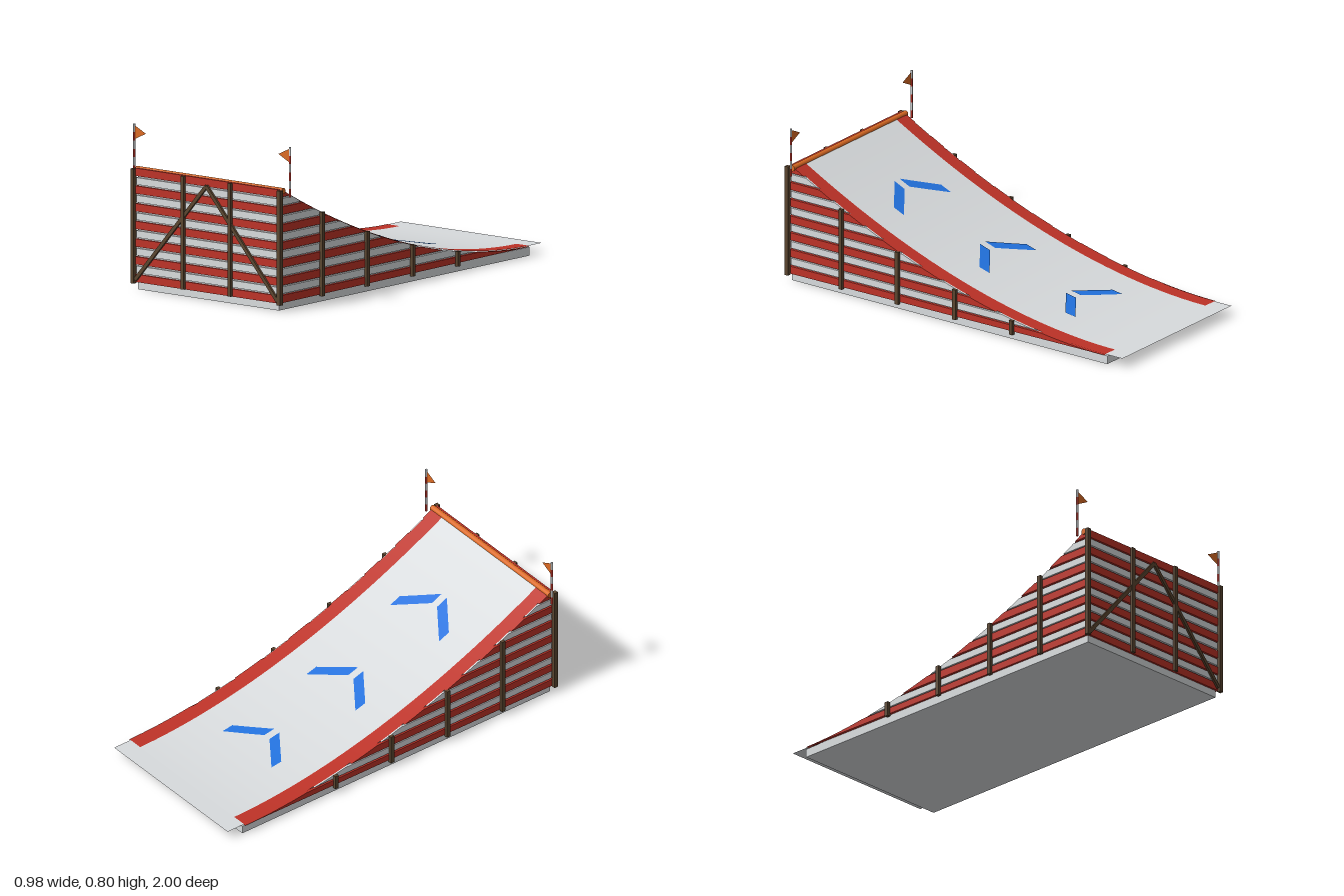
import * as THREE from 'three';

const mat = (name, color, side = THREE.FrontSide) => {
  const m = new THREE.MeshStandardMaterial({ color, side });
  m.name = name;
  return m;
};

// Ramp profile: height of the deck at z, and its inverse
const Z0 = -0.9, Z1 = 0.95, LOW = 0.05, RISE = 0.535, POWER = 1.87;
const height = (z) => LOW + RISE * Math.pow(Math.max(0, (z - Z0) / (Z1 - Z0)), POWER);
const zAt = (y) => Z0 + (Z1 - Z0) * Math.pow(Math.max(0, (y - LOW) / RISE), 1 / POWER);

// Sheet following the deck between two x edges; skew slides the x1 edge along z
function deckStrip(x0, x1, z0, z1, lift, skew = 0, rows = 40) {
  const cols = skew ? 6 : 1;
  const g = new THREE.PlaneGeometry(1, 1, cols, rows);
  const p = g.attributes.position;
  for (let i = 0; i < p.count; i++) {
    const u = p.getX(i) + 0.5, v = 0.5 - p.getY(i);
    const z = z0 + (z1 - z0) * v + skew * u;
    p.setXYZ(i, x0 + (x1 - x0) * u, height(z) + lift, z);
  }
  g.computeVertexNormals();
  return g;
}

// Slice of the side profile from y0 up to y1, cut by the curve, extruded from xMin to xMax
function profileSlab(y0, y1, xMin, xMax, front, drop) {
  const s = new THREE.Shape();
  s.moveTo(front, y0);
  const a = zAt(y0 + drop), b = Math.min(front, zAt(y1 + drop)), n = 24;
  s.lineTo(front, y1);
  for (let i = n; i >= 0; i--) {
    const z = a + (b - a) * i / n;
    s.lineTo(z, Math.min(y1, Math.max(y0, height(z) - drop)));
  }
  const g = new THREE.ExtrudeGeometry(s, { depth: xMax - xMin, bevelEnabled: false });
  return g.rotateY(-Math.PI / 2).translate(xMax, 0, 0);
}

export function createModel() {
  const root = new THREE.Group();
  root.name = 'jumpRamp';
  const white = mat('paleGrey', 0xd8dbdd, THREE.DoubleSide);
  const red = mat('red', 0xbd3227, THREE.DoubleSide);
  const brown = mat('darkWood', 0x5a452f);
  const orange = mat('orange', 0xdb6a24, THREE.DoubleSide);
  const blue = mat('blue', 0x2272de, THREE.DoubleSide);

  const add = (name, geo, material, x = 0, y = 0, z = 0, parent = root) => {
    const m = new THREE.Mesh(geo, material);
    m.name = name;
    m.position.set(x, y, z);
    parent.add(m);
    return m;
  };
  const box = (name, w, h, d, material, x, y, z) =>
    add(name, new THREE.BoxGeometry(w, h, d), material, x, y, z);

  // Base, core and entry lip
  box('base', 0.88, 0.042, 1.885, white, 0, 0.021, 0.0325);
  add('core', profileSlab(0.035, 0.584, -0.437, 0.437, 0.974, 0.006), white);
  add('entryLip', new THREE.PlaneGeometry(0.88, 0.13).rotateX(-Math.PI / 2), white, 0, 0.049, -0.935);

  // Riding surface with red borders
  add('deck', deckStrip(-0.365, 0.365, Z0, Z1, 0), white);
  for (const s of [-1, 1]) {
    add('deckBorder', deckStrip(s < 0 ? -0.443 : 0.365, s < 0 ? -0.365 : 0.443, Z0, Z1, 0), red);
  }

  // Blue chevrons pointing up the ramp
  for (const z of [-0.534, -0.02, 0.492]) {
    add('chevronLeft', deckStrip(0.19, 0.02, z, z + 0.06, 0.004, 0.122, 4), blue);
    add('chevronRight', deckStrip(-0.19, -0.02, z, z + 0.06, 0.004, 0.122, 4), blue);
  }

  // Alternating slats on the front and both sides
  for (let i = 0; i < 13; i++) {
    const isRed = i % 2 === 0;
    const m = isRed ? red : white;
    const h = isRed ? 0.038 : 0.034;
    const y = 0.055 + 0.0432 * i;
    box('frontSlat', isRed ? 0.894 : 0.886, h, 0.011, m, 0, y, 0.9795);
    const out = isRed ? 0.451 : 0.449;
    const top = Math.min(y + h / 2, 0.585);
    add('sideSlatLeft', profileSlab(y - h / 2, top, 0.437, out, 0.976, 0.003), m);
    add('sideSlatRight', profileSlab(y - h / 2, top, -out, -0.437, 0.976, 0.003), m);
  }

  // Timber frame: corner, front and side posts, and diagonal braces
  for (const s of [-1, 1]) {
    box('cornerPost', 0.021, 0.56, 0.02, brown, s * 0.4575, 0.31, 0.99);
    box('frontPost', 0.021, 0.553, 0.014, brown, s * 0.147, 0.3135, 0.991);
    const len = Math.hypot(0.445, 0.51);
    const brace = box('diagonalBrace', 0.018, len, 0.012, brown, s * 0.2225, 0.303, 0.99);
    brace.rotation.z = s * Math.atan2(0.445, 0.51);
    for (const z of [0.67, 0.333, -0.01, -0.35]) {
      const top = height(z) - 0.002;
      box('sidePost', 0.018, top - 0.03, 0.02, brown, s * 0.457, (top + 0.03) / 2, z);
    }
  }

  // Rounded rail along the top edge
  add('topRail', new THREE.CylinderGeometry(0.015, 0.015, 0.916, 16).rotateZ(Math.PI / 2), orange, 0, 0.584, 0.962);

  // Striped poles with pennants turned inward
  for (const s of [-1, 1]) {
    const flag = new THREE.Group();
    flag.name = s > 0 ? 'flagLeft' : 'flagRight';
    flag.position.set(s * 0.487, 0.555, 0.948);
    root.add(flag);
    const band = 0.245 / 6;
    for (let i = 0; i < 6; i++) {
      add('poleBand', new THREE.CylinderGeometry(0.0055, 0.0055, band, 10),
        i % 2 ? white : red, 0, band * (i + 0.5), 0, flag);
    }
    const tri = new THREE.Shape([
      new THREE.Vector2(-s * 0.004, 0.17),
      new THREE.Vector2(-s * 0.073, 0.204),
      new THREE.Vector2(-s * 0.004, 0.237),
    ]);
    add('pennant', new THREE.ShapeGeometry(tri), orange, 0, 0, 0, flag);
  }
  return root;
}
